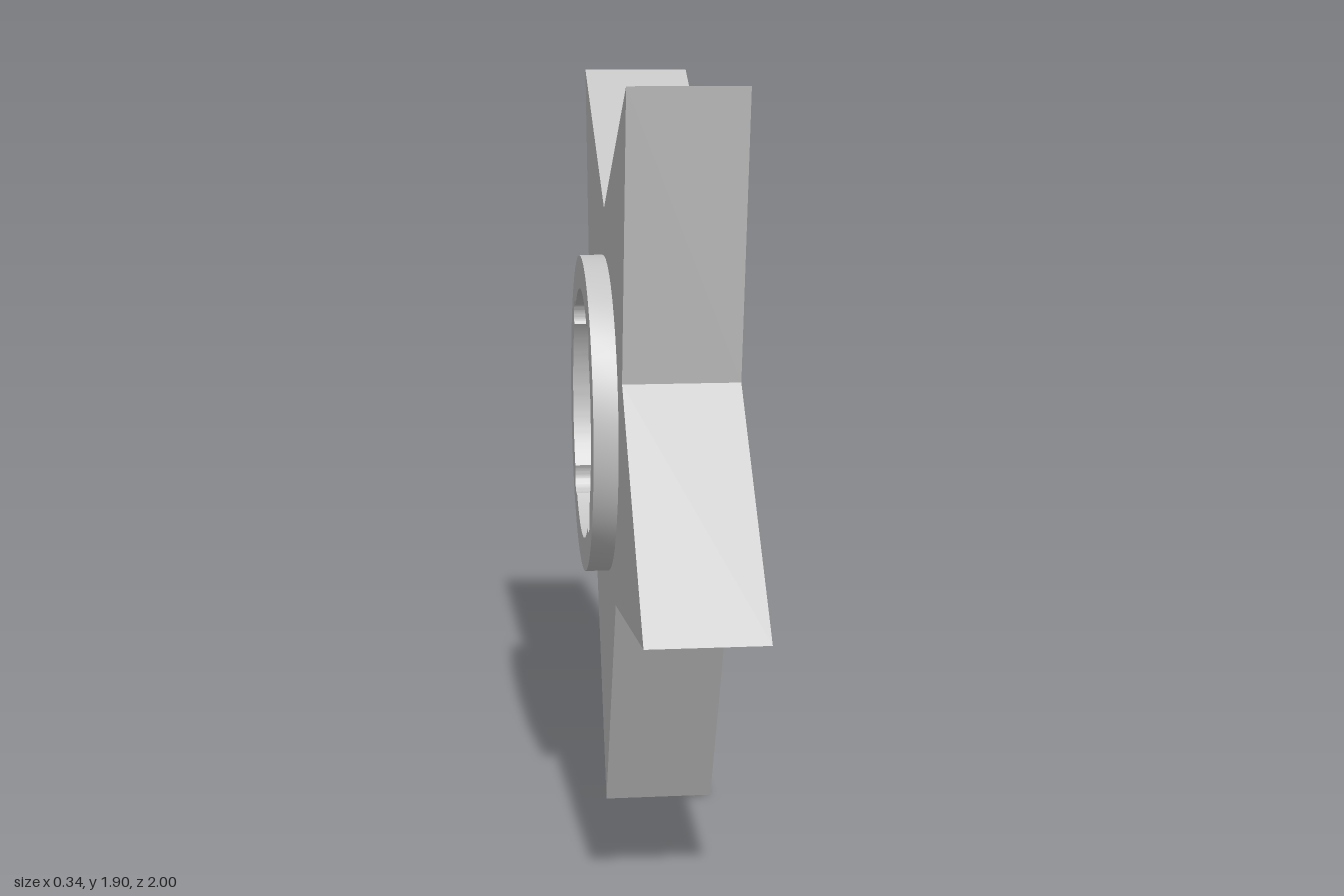
import * as THREE from 'three';
import { toCreasedNormals } from 'three/addons/utils/BufferGeometryUtils.js';

const TIP = 1 / Math.cos(Math.PI / 10);              // star tip radius, also centre height
const FRONT = 0.17, FLOOR = -0.04, BACK = -0.11, RIM = -0.17; // levels along x
const BORE = 0.108, BOLT = 0.046, BOLT_AT = 0.304, RECESS = 0.32, RING = 0.405;
const SEG = 24;

const circle = (r, x = 0, y = 0) => new THREE.Shape().absarc(x, y, r, 0, Math.PI * 2, false);

function starShape() {
  const pts = [];
  for (let i = 0; i < 10; i++) {
    const a = -Math.PI / 2 + i * Math.PI / 5, r = i % 2 ? TIP / 2 : TIP;
    pts.push(new THREE.Vector2(r * Math.cos(a), r * Math.sin(a)));
  }
  return new THREE.Shape(pts);
}

// Recess circle joined with the four bolt holes (outward) or cut by them
function notchedCircle(outward) {
  const alpha = Math.acos((RECESS ** 2 + BOLT_AT ** 2 - BOLT ** 2) / (2 * RECESS * BOLT_AT));
  const beta = Math.acos((RECESS * Math.cos(alpha) - BOLT_AT) / BOLT);
  const s = new THREE.Shape();
  for (let k = 0; k < 4; k++) {
    const p = Math.PI / 4 + k * Math.PI / 2;
    s.absarc(BOLT_AT * Math.cos(p), BOLT_AT * Math.sin(p), BOLT, p - beta, p + beta, !outward);
    s.absarc(0, 0, RECESS, p + alpha, p + Math.PI / 2 - alpha, false);
  }
  return s;
}

// Flat face at x, looking toward +x (dir 1) or -x (dir -1)
function face(shape, holes, x, dir) {
  shape.holes = holes;
  return new THREE.ShapeGeometry(shape, SEG).rotateY(dir * Math.PI / 2).translate(x, 0, 0);
}

// Side wall swept along x over an outline, facing outward or inward
function wall(shape, x0, x1, inward = false) {
  const pts = shape.getPoints(SEG), pos = [];
  if (inward) pts.reverse();
  pts.forEach((a, i) => {
    const b = pts[(i + 1) % pts.length];
    if (a.distanceTo(b) < 1e-6) return;
    const v = (p, x) => [x, p.y, -p.x];
    pos.push(...v(a, x0), ...v(b, x0), ...v(b, x1), ...v(a, x0), ...v(b, x1), ...v(a, x1));
  });
  const g = new THREE.BufferGeometry();
  g.setAttribute('position', new THREE.Float32BufferAttribute(pos, 3));
  return toCreasedNormals(g, 0.5);
}

export function createModel() {
  const model = new THREE.Group();
  const grey = new THREE.MeshStandardMaterial({ color: 0xc4c4c4 });
  grey.name = 'grey';
  const add = (name, geometry) => {
    const m = new THREE.Mesh(geometry, grey);
    m.name = name;
    model.add(m);
  };
  const bolts = () => [0, 1, 2, 3].map(k => {
    const a = Math.PI / 4 + k * Math.PI / 2;
    return circle(BOLT, BOLT_AT * Math.cos(a), BOLT_AT * Math.sin(a));
  });

  // Star plate
  add('starFace', face(starShape(), [circle(BORE), ...bolts()], FRONT, 1));
  add('starBackFace', face(starShape(), [circle(RING)], BACK, -1));
  add('starEdge', wall(starShape(), BACK, FRONT));

  // Raised ring around the recess
  add('ringEdge', wall(circle(RING), RIM, BACK));
  add('ringFace', face(circle(RING), [notchedCircle(true)], RIM, -1));

  // Recess with half-round bolt grooves
  add('recessWall', wall(notchedCircle(true), RIM, FLOOR, true));
  add('recessFloor', face(notchedCircle(false), [circle(BORE)], FLOOR, -1));

  // Through holes
  add('centreBore', wall(circle(BORE), FLOOR, FRONT, true));
  bolts().forEach(b => add('boltHole', wall(b, FLOOR, FRONT, true)));

  model.position.y = TIP;
  const root = new THREE.Group();
  root.name = 'starKnob';
  root.add(model);
  return root;
}
